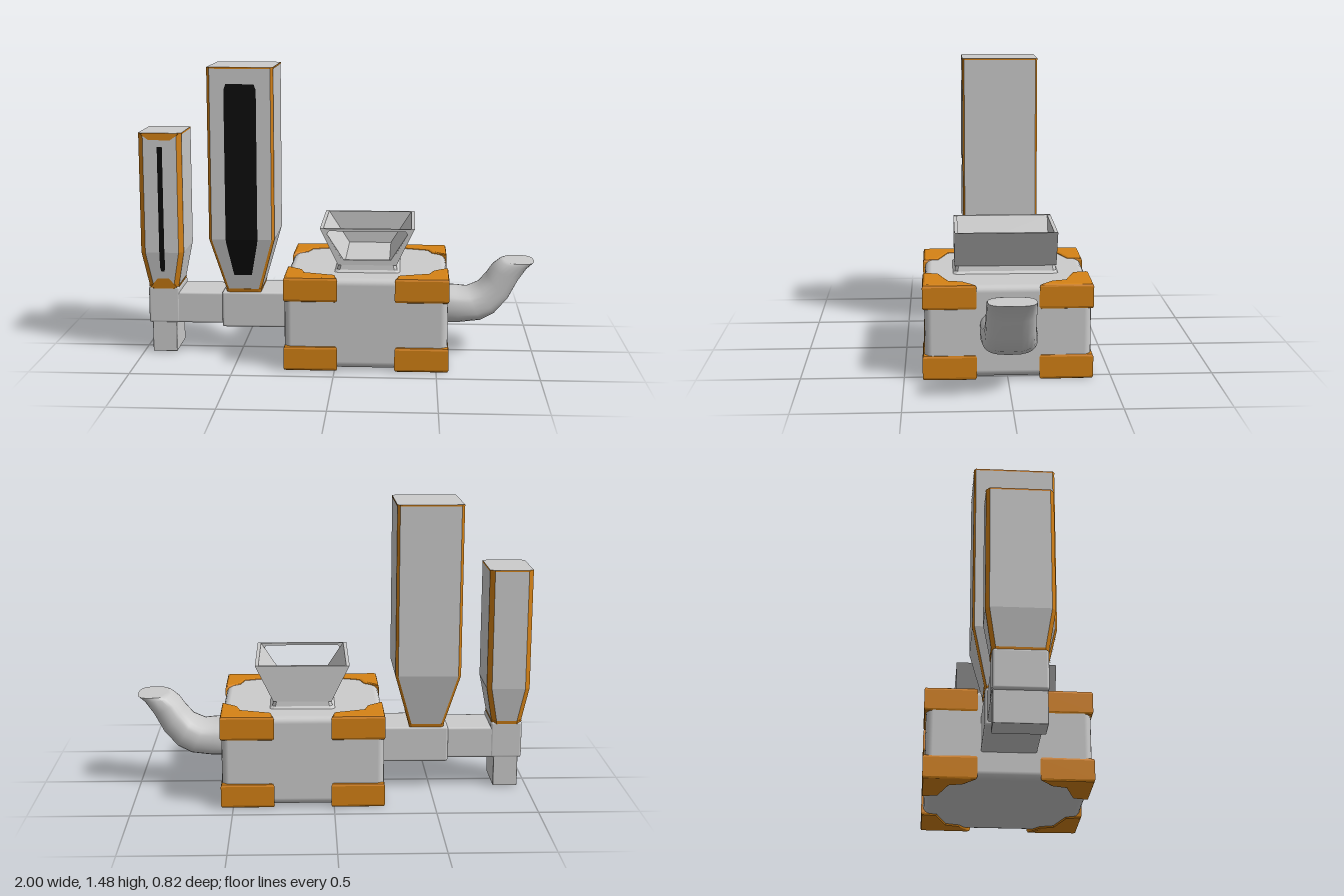
import * as THREE from 'three';
import { toCreasedNormals } from 'three/addons/utils/BufferGeometryUtils.js';
import { RoundedBoxGeometry } from 'three/addons/geometries/RoundedBoxGeometry.js';

const grey = new THREE.MeshStandardMaterial({ color: 0xcccccc });
const greyThin = new THREE.MeshStandardMaterial({ color: 0xcccccc, side: THREE.DoubleSide });
const orange = new THREE.MeshStandardMaterial({ color: 0xd58215 });
const black = new THREE.MeshStandardMaterial({ color: 0x0c0c0c });

function add(parent, name, geometry, material = grey, x = 0, y = 0, z = 0) {
  const mesh = new THREE.Mesh(geometry, material);
  mesh.name = name;
  mesh.position.set(x, y, z);
  parent.add(mesh);
  return mesh;
}

// Box given by its extents, symmetrical in z
function block(parent, name, x0, x1, y0, y1, hz, r = 0.012) {
  const geo = new RoundedBoxGeometry(x1 - x0, y1 - y0, 2 * hz, 2, r);
  add(parent, name, geo, grey, (x0 + x1) / 2, (y0 + y1) / 2, 0);
}

// Skin over matching rings of points; keep(side) selects which sides are made
function loft(rings, keep = () => true, caps = false) {
  const pos = [];
  const tri = (...pts) => pts.forEach((p) => pos.push(p.x, p.y, p.z));
  const n = rings[0].length;
  for (let k = 0; k + 1 < rings.length; k++) {
    for (let i = 0; i < n; i++) {
      if (!keep(i)) continue;
      const j = (i + 1) % n;
      const [a, b, c, d] = [rings[k][i], rings[k][j], rings[k + 1][j], rings[k + 1][i]];
      tri(a, b, c);
      tri(a, c, d);
    }
  }
  if (caps) {
    const [first, last] = [rings[0], rings[rings.length - 1]];
    for (let i = 1; i + 1 < n; i++) {
      tri(first[0], first[i + 1], first[i]);
      tri(last[0], last[i], last[i + 1]);
    }
  }
  const geo = new THREE.BufferGeometry();
  geo.setAttribute('position', new THREE.Float32BufferAttribute(pos, 3));
  geo.computeVertexNormals();
  return geo;
}

// Rectangle with cut corners, at height y
function cutRect(y, hx, hz, cx, cz) {
  return [
    [hx, hz - cz], [hx, cz - hz], [hx - cx, -hz], [cx - hx, -hz],
    [-hx, cz - hz], [-hx, hz - cz], [cx - hx, hz], [hx - cx, hz],
  ].map(([x, z]) => new THREE.Vector3(x, y, z));
}

// Tall stack: tapered foot, straight shaft, orange edges, dark slot in front
function tower(parent, name, t) {
  const g = new THREE.Group();
  g.name = name;
  g.position.x = t.x;
  parent.add(g);
  const { bottom: b, shoulder: s, top } = t;
  const mix = (y, lo, hi) => lo + (hi - lo) * Math.min(1, (y - b) / (s - b));
  const ring = (y, grow = 0) =>
    cutRect(y, mix(y, t.footX, t.hx) + grow, mix(y, t.footZ, t.hz) + grow, t.cutX, t.cutZ);
  const rings = [ring(b), ring(s), ring(top)];
  add(g, 'stackWalls', loft(rings, (i) => i % 2 === 0, true));
  add(g, 'stackEdges', loft(rings, (i) => i % 2 === 1), orange);
  add(g, 'stackFootBand', loft([ring(b, 0.002), ring(b + 0.018, 0.002)], undefined, true), orange);
  const rim = loft([ring(top - 0.008, 0.001), ring(top, 0.001)]);
  add(g, 'stackTopRim', rim, orange);

  // Panels lie on the front wall: rows of [height, half width]
  const panel = (panelName, rows, material) => {
    const ringsOfRow = rows.map(([y, w]) => {
      const z = mix(y, t.footZ, t.hz) + 0.004;
      return [new THREE.Vector3(-w, y, z), new THREE.Vector3(w, y, z)];
    });
    add(g, panelName, loft(ringsOfRow, (i) => i === 0), material);
  };
  panel('stackSlot', t.slot, black);
  (t.trims || []).forEach((rows) => panel('stackTrim', rows, orange));
}

function extrude(points, depth, bevel = 0, hole = null) {
  const shape = new THREE.Shape(points.map((p) => new THREE.Vector2(...p)));
  if (hole) shape.holes.push(new THREE.Path(hole.map((p) => new THREE.Vector2(...p))));
  return new THREE.ExtrudeGeometry(shape, {
    depth: depth - 2 * bevel, bevelEnabled: bevel > 0, bevelThickness: bevel,
    bevelSize: bevel, bevelOffset: -bevel, bevelSegments: 2,
  }).translate(0, 0, bevel);
}

export function createModel() {
  const root = new THREE.Group();
  root.name = 'machine';

  // Main housing with eight corner guards
  const cx = 0.155;
  block(root, 'housing', -0.247, 0.555, 0.02, 0.473, 0.4, 0.035);
  const guard = [[0.405, 0.41], [0.14, 0.41], [0.155, 0.33], [0.305, 0.28], [0.325, 0.21], [0.405, 0.15]];
  for (const sx of [-1, 1]) {
    for (const sz of [-1, 1]) {
      for (const y of [0.008, 0.355]) {
        const geo = extrude(guard.map(([x, z]) => [sx * x, -sz * z]), 0.125, 0.014);
        add(root, 'cornerGuard', geo.rotateX(-Math.PI / 2), orange, cx, y, 0);
      }
    }
  }

  // Hopper: neck, sloping sides, solid back, windowed front
  const hopper = new THREE.Group();
  hopper.name = 'hopper';
  hopper.position.x = cx;
  root.add(hopper);
  const collar = [[0.46, 0.175, 0.27], [0.485, 0.15, 0.25], [0.525, 0.14, 0.245]];
  add(hopper, 'hopperNeck', loft(collar.map(([y, x, z]) => cutRect(y, x, z, 0.015, 0.015)), undefined, true));
  for (const s of [-1, 1]) {
    const side = [[0.145, 0.51], [0.235, 0.693], [0.218, 0.693], [0.11, 0.525], [0.1, 0.51]];
    add(hopper, 'hopperSide', extrude(side.map(([x, y]) => [s * x, y]), 0.5), grey, 0, 0, -0.25);
  }
  const wall = [[-0.145, 0.51], [0.145, 0.51], [0.234, 0.692], [-0.234, 0.692]];
  const opening = [[-0.125, 0.535], [-0.2, 0.665], [-0.19, 0.68], [0.19, 0.68], [0.2, 0.665], [0.125, 0.535]];
  add(hopper, 'hopperBack', extrude(wall, 0.018), greyThin, 0, 0, -0.252);
  add(hopper, 'hopperFront', extrude(wall, 0.018, 0, opening), greyThin, 0, 0, 0.234);

  // Bent outlet spout: rows of top point, bottom point and half width
  const spout = [
    [0.53, 0.35, 0.53, 0.17, 0.135], [0.6, 0.348, 0.62, 0.172, 0.137],
    [0.66, 0.342, 0.73, 0.185, 0.132], [0.72, 0.37, 0.8, 0.22, 0.122],
    [0.762, 0.42, 0.87, 0.3, 0.118], [0.79, 0.46, 0.92, 0.395, 0.117],
    [0.83, 0.49, 0.965, 0.46, 0.116], [0.845, 0.493, 1.0, 0.49, 0.112],
  ].map(([tx, ty, bx, by, w]) => Array.from({ length: 24 }, (_, i) => {
    const a = (i / 24) * Math.PI * 2;
    const soft = (v) => Math.sign(v) * Math.abs(v) ** 0.7;
    const u = soft(Math.cos(a)) / 2;
    return new THREE.Vector3((tx + bx) / 2 + (tx - bx) * u, (ty + by) / 2 + (ty - by) * u, w * soft(Math.sin(a)));
  }));
  add(root, 'outletSpout', toCreasedNormals(loft(spout, undefined, true), 0.7));

  // Side duct with downward leg
  block(root, 'innerDuct', -0.59, -0.23, 0.15, 0.335, 0.135);
  block(root, 'outerDuct', -0.96, -0.57, 0.165, 0.328, 0.122);
  block(root, 'ductElbow', -0.97, -0.81, 0.165, 0.355, 0.124);
  block(root, 'ductLeg', -0.953, -0.828, 0.012, 0.19, 0.12, 0.004);

  // Two stacks standing on the duct
  tower(root, 'tallStack', {
    x: -0.477, bottom: 0.335, shoulder: 0.62, top: 1.483,
    hx: 0.165, hz: 0.198, footX: 0.085, footZ: 0.132, cutX: 0.014, cutZ: 0.01,
    slot: [[0.43, 0.045], [0.6, 0.078], [0.62, 0.08], [1.37, 0.08], [1.4, 0.07]],
  });
  tower(root, 'shortStack', {
    x: -0.89, bottom: 0.345, shoulder: 0.54, top: 1.15,
    hx: 0.109, hz: 0.156, footX: 0.073, footZ: 0.124, cutX: 0.024, cutZ: 0.018,
    slot: [[0.44, 0.008], [0.46, 0.013], [0.54, 0.013], [1.08, 0.013]],
    trims: [[[0.35, 0.07], [0.4, 0.03]], [[1.115, 0.055], [1.148, 0.1]]],
  });

  return root;
}
